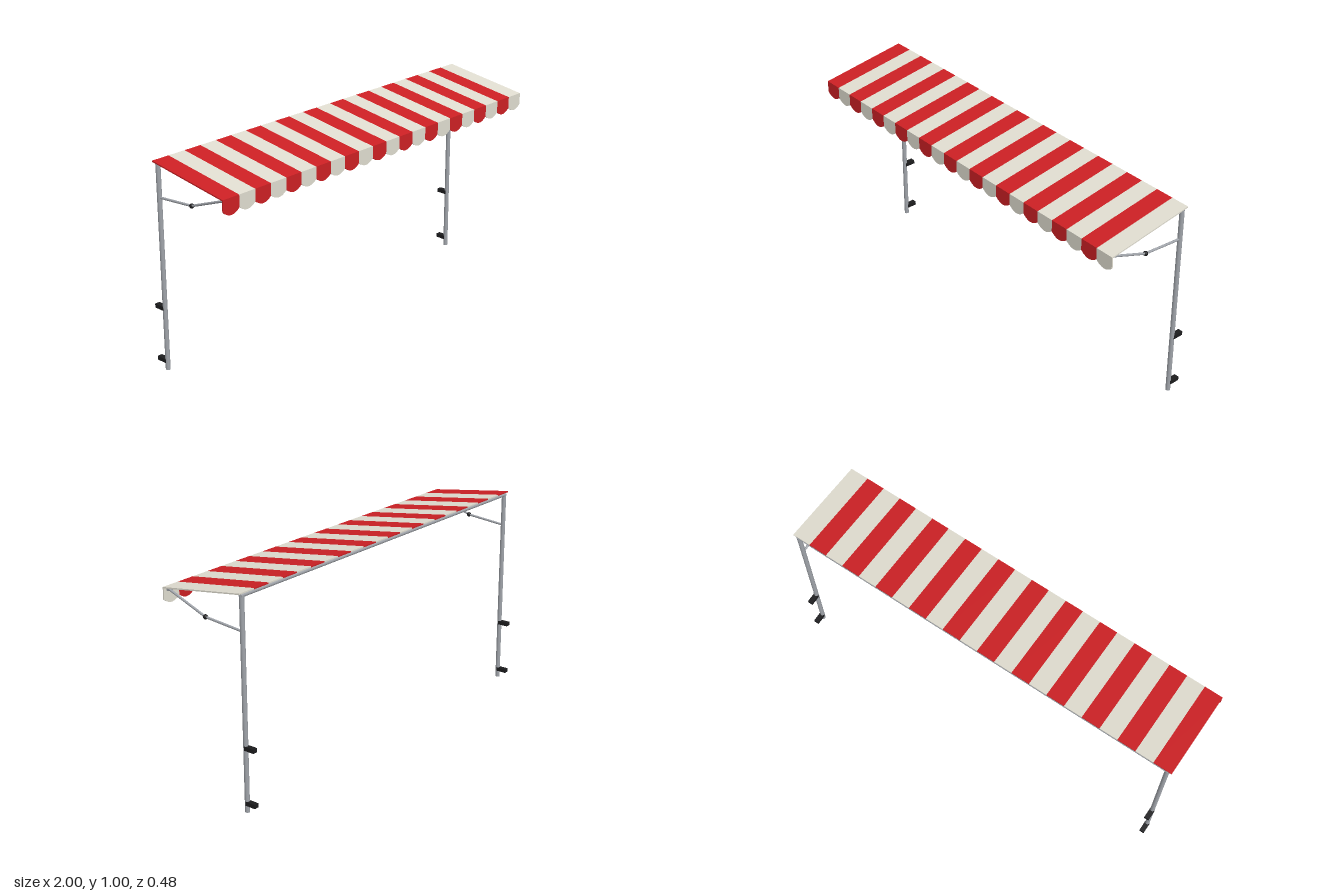
import * as THREE from 'three';

const mat = (name, color) => {
  const m = new THREE.MeshStandardMaterial({ color });
  m.name = name;
  return m;
};

export function createModel() {
  const model = new THREE.Group();
  model.name = 'awning';
  const red = mat('red fabric', 0xcc2024);
  const cream = mat('cream fabric', 0xe0ddd0);
  const metal = mat('grey metal', 0xa0a4aa);
  const black = mat('black plastic', 0x1c1c1e);

  const add = (name, geometry, material, parent = model) => {
    const mesh = new THREE.Mesh(geometry, material);
    mesh.name = name;
    parent.add(mesh);
    return mesh;
  };

  // Round bar between two points
  const bar = (name, a, b, radius, material, parent) => {
    const dir = b.clone().sub(a);
    const mesh = add(name, new THREE.CylinderGeometry(radius, radius, dir.length(), 16), material, parent);
    mesh.position.copy(a).add(b).multiplyScalar(0.5);
    mesh.quaternion.setFromUnitVectors(new THREE.Vector3(0, 1, 0), dir.normalize());
    return mesh;
  };
  const V = (x, y, z) => new THREE.Vector3(x, y, z);

  // Striped canopy with a scalloped valance
  const count = 22, width = 2 / count, thick = 0.006;
  const slope = new THREE.Shape([
    [-0.196, 0.998], [0.241, 0.934], [0.241, 0.928], [-0.196, 0.992],
  ].map(([z, y]) => new THREE.Vector2(-z, y)));
  const slopeGeometry = new THREE.ExtrudeGeometry(slope, { depth: width, bevelEnabled: false });
  slopeGeometry.rotateY(Math.PI / 2);

  const flap = new THREE.Shape();
  flap.moveTo(0, 0.934);
  flap.lineTo(0, 0.878);
  flap.quadraticCurveTo(width / 2, 0.836, width, 0.878);
  flap.lineTo(width, 0.934);
  flap.closePath();
  const flapGeometry = new THREE.ExtrudeGeometry(flap, { depth: thick, bevelEnabled: false, curveSegments: 14 });
  flapGeometry.translate(0, 0, 0.242 - thick);

  for (let i = 0; i < count; i++) {
    const fabric = i % 2 ? cream : red;
    add('canopyStripe', slopeGeometry, fabric).position.x = -1 + i * width;
    add('valanceScallop', flapGeometry, fabric).position.x = -1 + i * width;
  }

  // Rails carrying the fabric
  bar('rearRail', V(-0.985, 0.983, -0.188), V(0.985, 0.983, -0.188), 0.009, metal);
  bar('frontRail', V(-0.985, 0.922, 0.228), V(0.985, 0.922, 0.228), 0.008, metal);

  // Pole, folding arm and wall brackets on each side
  for (const side of [-1, 1]) {
    const x = side * 0.976;
    const support = new THREE.Group();
    support.name = side > 0 ? 'leftSupport' : 'rightSupport';
    model.add(support);
    bar('pole', V(x, 0, -0.188), V(x, 0.984, -0.188), 0.011, metal, support);
    const elbow = V(x, 0.843, 0.02);
    bar('rearArm', V(x, 0.826, -0.188), elbow, 0.0055, metal, support);
    bar('frontArm', elbow, V(x, 0.921, 0.228), 0.0055, metal, support);
    add('elbowJoint', new THREE.SphereGeometry(0.011, 16, 12), black, support).position.copy(elbow);
    for (const y of [0.043, 0.302]) {
      add('wallBracket', new THREE.BoxGeometry(0.024, 0.019, 0.053), black, support)
        .position.set(x, y, -0.2145);
    }
  }
  return model;
}
